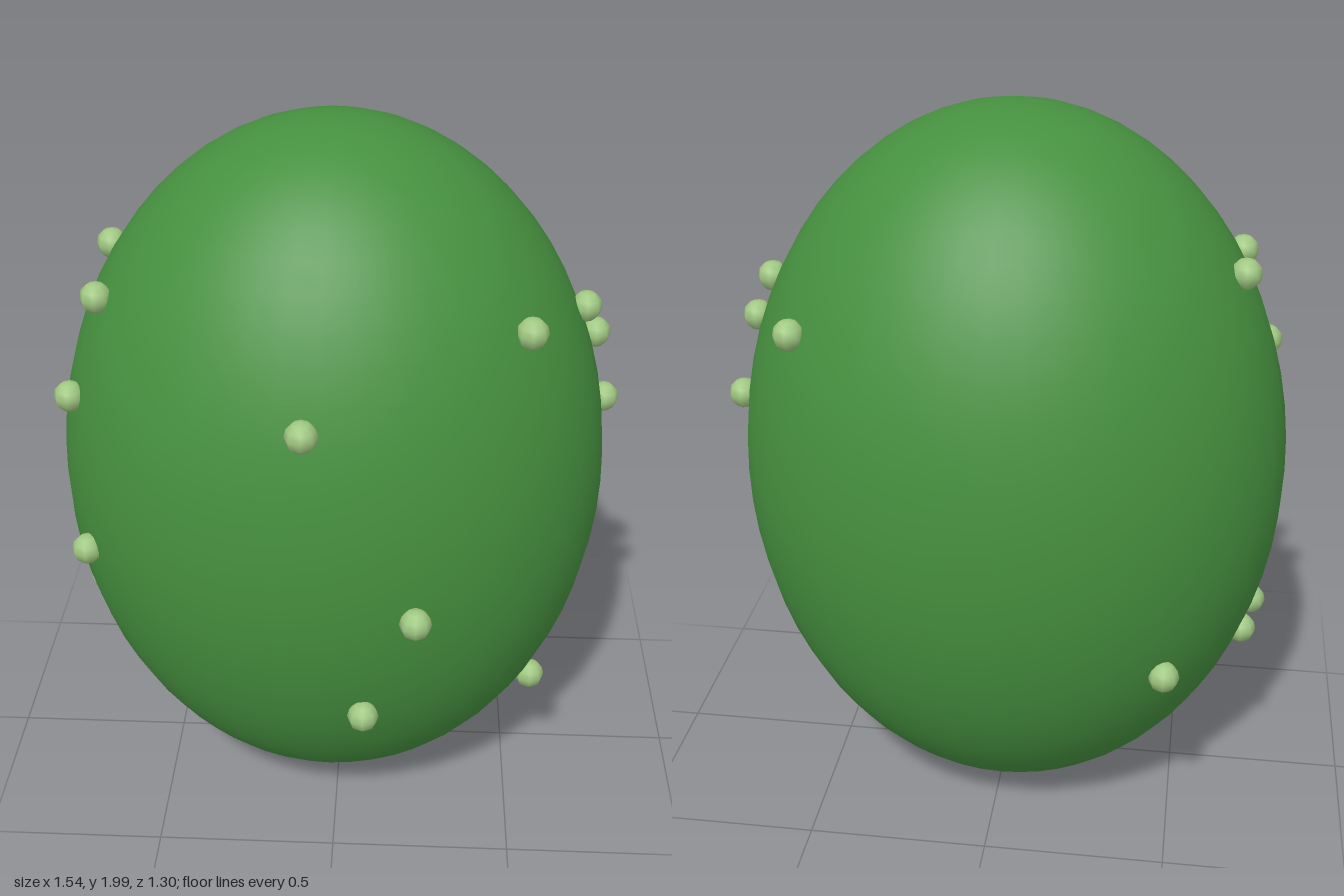
import * as THREE from 'three';

export function createModel() {
  const model = new THREE.Group();
  model.name = 'bumpyPod';

  const bodyGreen = new THREE.MeshStandardMaterial({ color: 0x46903f });
  bodyGreen.name = 'bodyGreen';
  const paleGreen = new THREE.MeshStandardMaterial({ color: 0xa0c882 });
  paleGreen.name = 'paleGreen';

  // Egg-shaped body: one smooth sphere stretched along each axis
  const body = new THREE.Mesh(new THREE.SphereGeometry(1, 40, 32), bodyGreen);
  body.name = 'body';
  body.scale.set(0.75, 0.997, 0.637);
  body.position.set(-0.02, 1.003, -0.01);
  model.add(body);

  // Small round bumps scattered over the skin
  const bumpShape = new THREE.SphereGeometry(0.042, 8, 6);
  const spots = [
    [-0.625, 1.6, -0.11], [-0.62, 1.57, 0.175], [-0.705, 1.3, 0.21],
    [-0.67, 0.895, 0.325], [-0.705, 0.578, 0], [-0.68, 0.54, -0.1],
    [-0.475, 0.6, -0.465], [-0.067, 1.412, 0.588], [0.217, 0.89, 0.615],
    [0.085, 0.547, 0.57], [0.555, 0.412, 0.2], [0.485, 1.565, 0.32],
    [0.65, 1.495, 0.005], [0.685, 1.397, -0.042], [0.73, 1.178, -0.082],
    [0.508, 1.475, -0.37],
  ];
  const bumps = new THREE.Group();
  bumps.name = 'bumps';
  for (const [x, y, z] of spots) {
    const bump = new THREE.Mesh(bumpShape, paleGreen);
    bump.name = 'bump';
    bump.position.set(x, y, z);
    bumps.add(bump);
  }
  model.add(bumps);

  return model;
}
